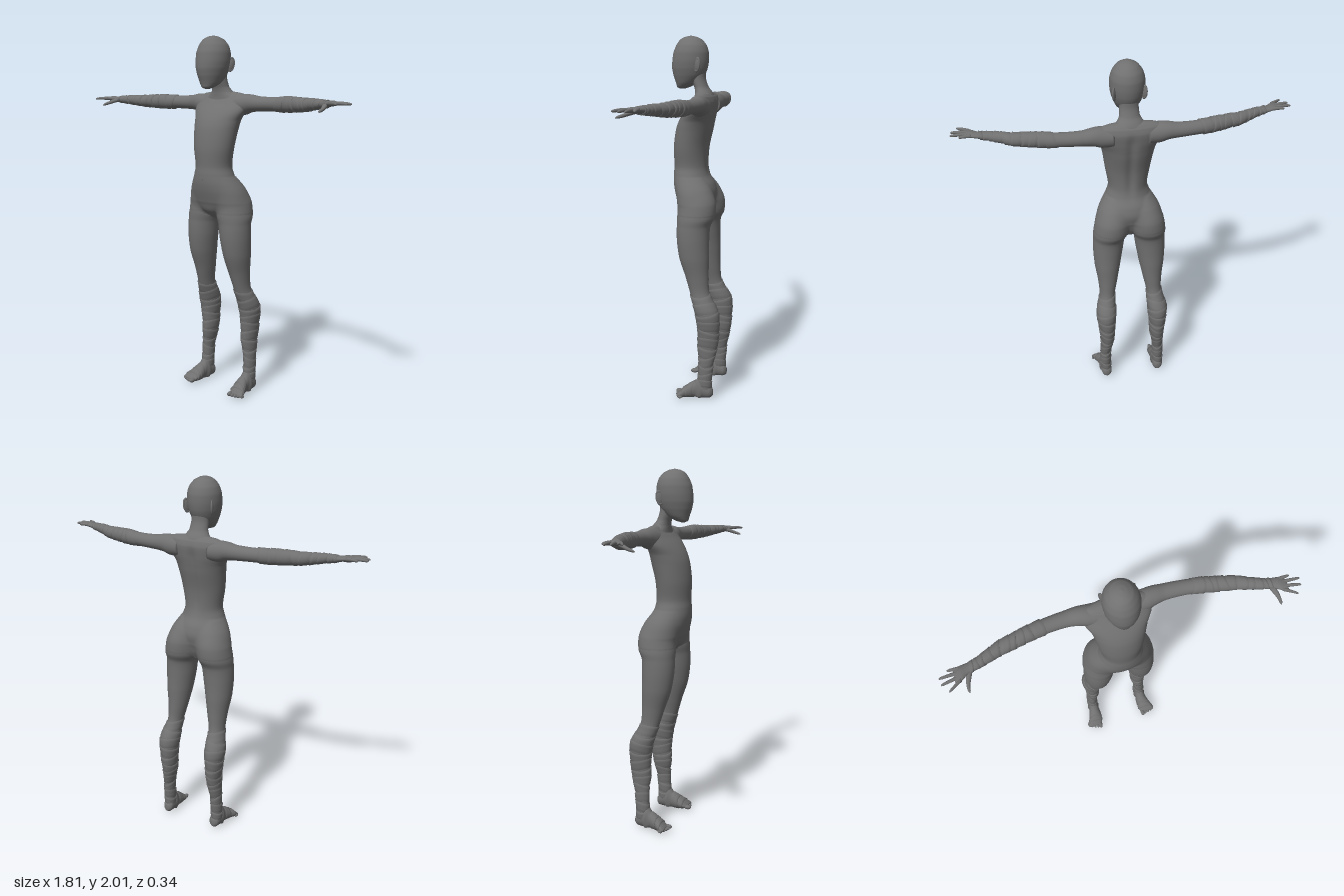
import * as THREE from 'three';

const skin = new THREE.MeshStandardMaterial({ color: 0x707070 });
const V = (x, y, z) => new THREE.Vector3(x, y, z);

// the two section directions for a limb running along each axis (U x W = axis)
const FRAMES = {
  x: [V(0, 1, 0), V(0, 0, 1)],
  y: [V(1, 0, 0), V(0, 0, -1)],
  z: [V(1, 0, 0), V(0, 1, 0)],
};

// smooth surface through elliptical sections [x, y, z, radiusU, radiusW]
function limb(axis, keys, side = 1) {
  const list = keys.map(k => [k[0] * side, ...k.slice(1)]);
  const i = 'xyz'.indexOf(axis);
  if (list[0][i] > list[list.length - 1][i]) list.reverse();
  const centres = new THREE.CatmullRomCurve3(list.map(k => V(k[0], k[1], k[2])));
  const radii = new THREE.CatmullRomCurve3(list.map(k => V(k[3], k[4], 0)));
  const [U, W] = FRAMES[axis];
  return (t, a, grow = 0, scale = 1) => {
    t = Math.min(1, Math.max(0, t));
    const r = radii.getPoint(t);
    return centres.getPoint(t)
      .addScaledVector(U, (r.x + grow) * scale * Math.cos(a))
      .addScaledVector(W, (r.y + grow) * scale * Math.sin(a));
  };
}

// closed rings of points, joined into a mesh
function skinRings(name, rings, segments, point) {
  const pos = [], index = [];
  for (let i = 0; i < rings; i++) {
    for (let j = 0; j < segments; j++) {
      const p = point(i, (j / segments) * Math.PI * 2);
      pos.push(p.x, p.y, p.z);
      if (i === rings - 1) continue;
      const a = i * segments + j, b = i * segments + (j + 1) % segments;
      index.push(a, b, a + segments, b, b + segments, a + segments);
    }
  }
  const g = new THREE.BufferGeometry();
  g.setAttribute('position', new THREE.Float32BufferAttribute(pos, 3));
  g.setIndex(index);
  g.computeVertexNormals();
  const mesh = new THREE.Mesh(g, skin);
  mesh.name = name;
  return mesh;
}

// capped body part; rule may adjust each point
function solid(name, surf, steps, segments, rule = p => p) {
  return skinRings(name, steps + 3, segments, (i, a) => {
    const cap = i === 0 || i === steps + 2;
    return rule(surf((i - 1) / steps, a, 0, cap ? 0 : 1));
  });
}

// overlapping, alternately tilted cloth strips wound round a limb
function wraps(name, surf, [from, to], count, tilt) {
  const group = new THREE.Group();
  group.name = name;
  const profile = [[0, -0.002], [0.03, 0.002], [0.35, 0.003], [0.7, 0.004], [0.97, 0.005], [1, -0.002]];
  const width = (to - from) / count;
  for (let k = 0; k < count; k++) {
    const lean = tilt * (k % 3 === 1 ? -0.7 : 1), phase = k * 1.3;
    group.add(skinRings('clothStrip', profile.length, 40, (i, a) => {
      const t = from + width * (k + profile[i][0] * 1.15) + lean * Math.cos(a + phase);
      return surf(t, a, profile[i][1]);
    }));
  }
  return group;
}

const TORSO = [
  [0, 1.008, -0.012, 0.045, 0.045], [0, 1.05, 0, 0.11, 0.08], [0, 1.1, 0.002, 0.165, 0.1],
  [0, 1.15, 0.005, 0.165, 0.112], [0, 1.2, 0.016, 0.146, 0.112], [0, 1.25, 0.03, 0.12, 0.1],
  [0, 1.3, 0.033, 0.107, 0.094], [0, 1.4, 0.032, 0.122, 0.097], [0, 1.5, 0.014, 0.137, 0.1],
  [0, 1.55, 0, 0.148, 0.095], [0, 1.6, -0.02, 0.172, 0.082], [0, 1.65, -0.043, 0.182, 0.062],
  [0, 1.68, -0.05, 0.17, 0.045], [0, 1.695, -0.05, 0.13, 0.032], [0, 1.703, -0.05, 0.07, 0.015],
];
const NECK = [
  [0, 1.63, -0.04, 0.15, 0.055], [0, 1.67, -0.043, 0.115, 0.052], [0, 1.7, -0.037, 0.071, 0.046],
  [0, 1.73, -0.023, 0.053, 0.038], [0, 1.77, -0.009, 0.05, 0.038], [0, 1.82, 0, 0.052, 0.045],
];
const HEAD = [
  [0, 1.718, 0.085, 0.012, 0.012], [0, 1.726, 0.08, 0.033, 0.033], [0, 1.75, 0.06, 0.055, 0.06],
  [0, 1.79, 0.047, 0.074, 0.086], [0, 1.83, 0.042, 0.086, 0.098], [0, 1.87, 0.038, 0.091, 0.1],
  [0, 1.91, 0.035, 0.09, 0.097], [0, 1.95, 0.033, 0.078, 0.083], [0, 1.98, 0.035, 0.054, 0.06],
  [0, 1.995, 0.036, 0.026, 0.03], [0, 2, 0.036, 0.004, 0.004],
];
const LEG = [
  [0.07, 1.25, 0.02, 0.03, 0.05], [0.085, 1.18, -0.01, 0.072, 0.086], [0.096, 1.1, -0.025, 0.094, 0.105],
  [0.105, 1.03, -0.023, 0.098, 0.105], [0.115, 0.98, -0.012, 0.089, 0.093], [0.122, 0.9, -0.01, 0.084, 0.09],
  [0.128, 0.8, -0.018, 0.073, 0.083], [0.131, 0.7, -0.035, 0.056, 0.066], [0.139, 0.6, -0.055, 0.044, 0.055],
  [0.152, 0.5, -0.097, 0.055, 0.066], [0.152, 0.4, -0.107, 0.046, 0.06], [0.151, 0.3, -0.102, 0.038, 0.055],
  [0.16, 0.2, -0.096, 0.029, 0.04], [0.162, 0.1, -0.09, 0.03, 0.038], [0.162, 0.03, -0.09, 0.031, 0.04],
];
const FOOT = [
  [0.16, 0.03, -0.136, 0.012, 0.018], [0.16, 0.035, -0.122, 0.028, 0.035], [0.162, 0.045, -0.08, 0.034, 0.05],
  [0.163, 0.045, -0.04, 0.034, 0.05], [0.168, 0.033, 0, 0.038, 0.037], [0.176, 0.023, 0.03, 0.045, 0.025],
  [0.183, 0.015, 0.05, 0.046, 0.015], [0.185, 0.012, 0.06, 0.036, 0.009],
];
const ARM = [
  [0.09, 1.63, -0.046, 0.054, 0.056], [0.15, 1.634, -0.05, 0.056, 0.054], [0.195, 1.641, -0.055, 0.048, 0.049],
  [0.25, 1.64, -0.058, 0.04, 0.042], [0.35, 1.64, -0.052, 0.037, 0.039], [0.45, 1.641, -0.036, 0.039, 0.038],
  [0.52, 1.642, -0.02, 0.036, 0.037], [0.6, 1.643, -0.002, 0.031, 0.035], [0.68, 1.648, 0.03, 0.024, 0.029],
  [0.74, 1.65, 0.05, 0.018, 0.025], [0.77, 1.652, 0.058, 0.015, 0.028], [0.8, 1.655, 0.071, 0.014, 0.036],
  [0.825, 1.655, 0.08, 0.01, 0.036], [0.835, 1.655, 0.083, 0.006, 0.028],
];
const THUMB = [
  [0.755, 1.65, 0.06, 0.016, 0.012], [0.772, 1.638, 0.1, 0.014, 0.011],
  [0.782, 1.627, 0.13, 0.0095, 0.009], [0.785, 1.62, 0.155, 0.007, 0.0065], [0.785, 1.617, 0.165, 0.002, 0.002],
];
// finger roots and tips: [x, z] to [x, z]
const FINGERS = [
  [[0.8, 0.046], [0.863, 0.042]], [[0.815, 0.066], [0.907, 0.07]],
  [[0.815, 0.088], [0.904, 0.105]], [[0.805, 0.104], [0.873, 0.147]],
];

// the stretch of a limb between two positions in its section list
const span = (keys, a, b, reversed) => {
  const n = keys.length - 1;
  return reversed ? [1 - b / n, 1 - a / n] : [a / n, b / n];
};

// soft groove down the spine
function spine(p) {
  if (p.z < 0) {
    const { smoothstep } = THREE.MathUtils;
    const band = smoothstep(p.y, 1.2, 1.35) * (1 - smoothstep(p.y, 1.58, 1.68));
    p.z += 0.011 * band * Math.exp(-((p.x / 0.025) ** 2));
  }
  return p;
}

// swell the pelvis smoothly over the tops of the thighs
function hips(p, leg) {
  if (p.y > 1.24) return p;
  let low = 0, high = 1;
  for (let k = 0; k < 24; k++) {
    const mid = (low + high) / 2;
    if (leg(mid, 0, 0, 0).y < p.y) low = mid; else high = mid;
  }
  const c = leg(low, 0, 0, 0), rx = leg(low, 0).x - c.x, rz = c.z - leg(low, Math.PI / 2).z;
  // distance from the body axis to the far side of the thigh
  const r = Math.hypot(p.x, p.z), dx = Math.abs(p.x) / r, dz = p.z / r;
  const A = (dx / rx) ** 2 + (dz / rz) ** 2;
  const B = dx * c.x / rx ** 2 + dz * c.z / rz ** 2;
  const disc = B * B - A * ((c.x / rx) ** 2 + (c.z / rz) ** 2 - 1);
  if (disc < 0) return p;
  const reach = (B + Math.sqrt(disc)) / A + Math.min(0.001, (p.y - 1.04) * 0.2);
  const k = 0.03, h = Math.max(k - Math.abs(reach - r), 0) / k;
  const s = (Math.max(reach, r) + h * h * k / 4) / r;
  p.x *= s;
  p.z *= s;
  return p;
}

function addSide(model, side, label) {
  const leg = limb('y', LEG, side);
  model.add(solid(label + 'Leg', leg, 84, 48));
  model.add(wraps(label + 'LegWraps', leg, span(LEG, 8.1, 13.6, true), 11, 0.011));

  const foot = limb('z', FOOT, side);
  model.add(solid(label + 'Foot', foot, 28, 28, p => p.setY(Math.max(p.y, 0))));
  model.add(wraps(label + 'FootWraps', foot, span(FOOT, 3.2, 5, false), 2, 0.02));
  for (let k = 0; k < 5; k++) {
    const r = k === 0 ? 0.013 : 0.0105 - k * 0.0005;
    const toe = new THREE.Mesh(new THREE.SphereGeometry(r, 14, 10), skin);
    toe.scale.z = 1.7;
    toe.position.set(side * (0.149 + k * 0.0185), r, 0.062 - k * k * 0.0013);
    toe.name = label + 'Toe';
    model.add(toe);
  }

  const arm = limb('x', ARM, side);
  model.add(solid(label + 'Arm', arm, 78, 36));
  model.add(wraps(label + 'ArmWraps', arm, span(ARM, 4.3, 9.6, side < 0), 10, 0.01));
  for (const [[x0, z0], [x1, z1]] of FINGERS) {
    const keys = [[0, 0.01], [0.45, 0.0085], [0.85, 0.0068], [0.97, 0.004], [1, 0.001]].map(([t, r]) =>
      [x0 + (x1 - x0) * t, 1.655 + 0.008 * t * (1 - t) - 0.002 * t, z0 + (z1 - z0) * t, r, r]);
    model.add(solid(label + 'Finger', limb('x', keys, side), 14, 14));
  }
  model.add(solid(label + 'Thumb', limb('z', THUMB, side), 16, 16));

  // ear: a shallow shell with a raised rim, its back edge standing off the head
  const ear = new THREE.Group();
  ear.name = label + 'Ear';
  const shell = new THREE.Mesh(new THREE.SphereGeometry(0.026, 20, 14), skin);
  shell.scale.set(0.3, 1.3, 0.75);
  const rim = new THREE.Mesh(new THREE.TorusGeometry(0.022, 0.005, 10, 28), skin);
  rim.rotation.y = Math.PI / 2;
  rim.scale.set(0.8, 1.5, 1);
  ear.add(shell, rim);
  ear.position.set(side * 0.077, 1.848, -0.02);
  ear.rotation.set(-0.2, -side * 0.5, -side * 0.1);
  model.add(ear);
}

export function createModel() {
  const model = new THREE.Group();
  model.name = 'figure';

  const thigh = limb('y', LEG);
  model.add(solid('torso', limb('y', TORSO), 112, 96, p => spine(hips(p, thigh))));
  model.add(solid('neck', limb('y', NECK), 30, 48));
  model.add(solid('head', limb('y', HEAD), 60, 48));

  const navel = new THREE.Mesh(new THREE.TorusGeometry(0.004, 0.0015, 8, 16), skin);
  navel.name = 'navel';
  navel.position.set(0, 1.23, 0.129);
  model.add(navel);

  addSide(model, 1, 'left');
  addSide(model, -1, 'right');
  return model;
}
